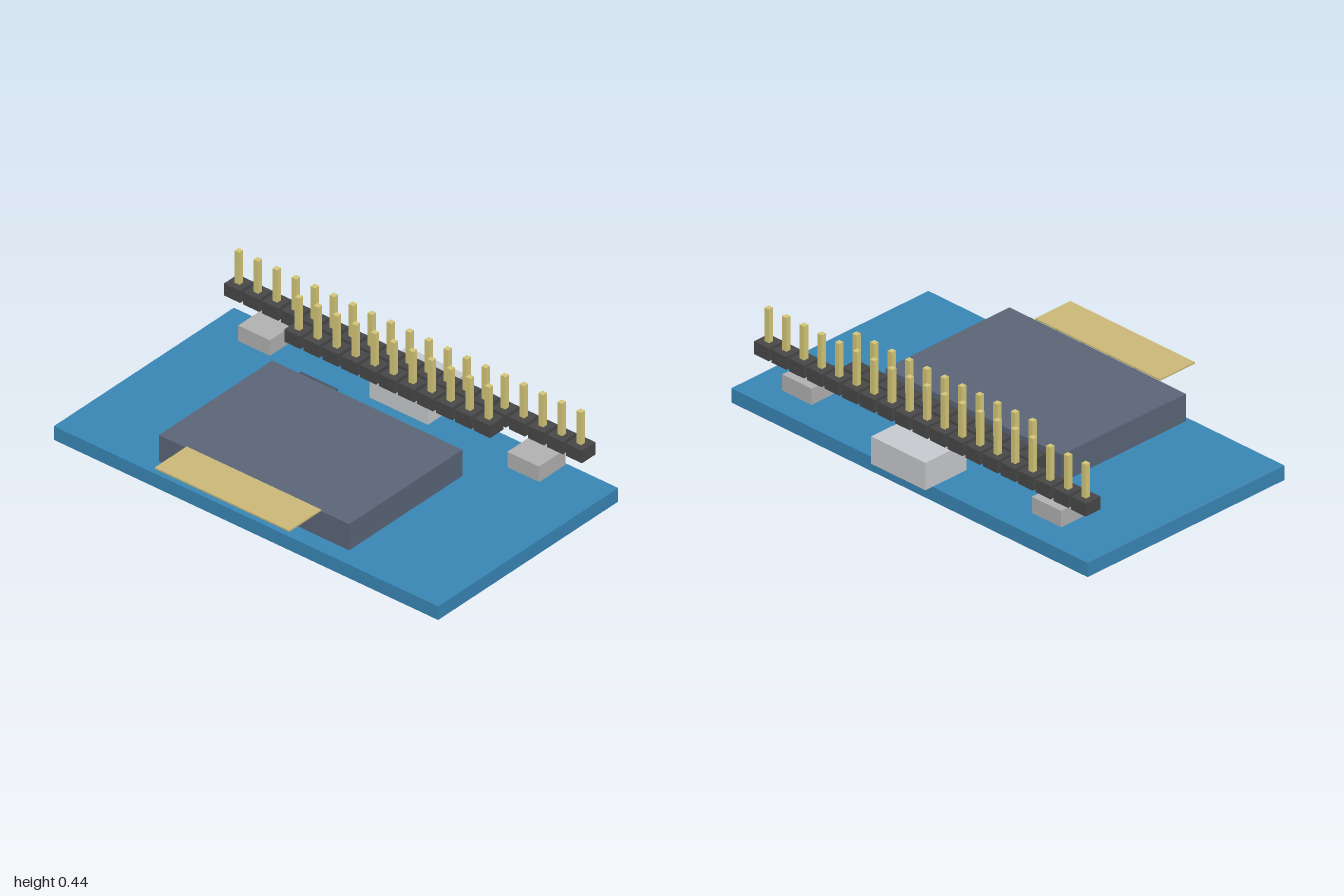
import * as THREE from 'three';

const paint = (color) => new THREE.MeshStandardMaterial({ color });
const blue = paint(0x3a87b7);
const slate = paint(0x5b6678);
const darkSlate = paint(0x4a5366);
const gold = paint(0xccb978);
const pinGold = paint(0xd6c878);
const black = paint(0x484848);
const silver = paint(0xc8cbd0);
const grey = paint(0xb2b2b2);

// Box given by its extents along each axis
function block(name, [x0, x1], [y0, y1], [z0, z1], material) {
  const mesh = new THREE.Mesh(new THREE.BoxGeometry(x1 - x0, y1 - y0, z1 - z0), material);
  mesh.position.set((x0 + x1) / 2, (y0 + y1) / 2, (z0 + z1) / 2);
  mesh.name = name;
  return mesh;
}

// Row of square-based header pins centred on x = 0
function pinHeader(name, count, z) {
  const row = new THREE.Group();
  row.name = name;
  const pitch = 0.0988, base = 0.0415, pin = 0.012;
  for (let i = 0; i < count; i++) {
    const x = (i - (count - 1) / 2) * pitch;
    row.add(
      block('pinBase', [x - base, x + base], [0.225, 0.284], [z - base, z + base], black),
      block('pin', [x - pin, x + pin], [0.284, 0.438], [z - pin, z + pin], pinGold),
    );
  }
  return row;
}

export function createModel() {
  const model = new THREE.Group();
  model.name = 'displayBoard';

  // Circuit board
  model.add(block('circuitBoard', [-1, 1], [0, 0.065], [-0.595, 0.515], blue));

  // Display module, its ribbon and the small chip behind it
  model.add(block('displayModule', [-0.497, 0.493], [0.088, 0.213], [-0.235, 0.463], slate));
  model.add(block('ribbonCable', [-0.352, 0.348], [0.214, 0.221], [0.463, 0.66], gold));
  model.add(block('chip', [-0.43, -0.235], [0.1, 0.14], [-0.332, -0.235], darkSlate));

  // Rear socket and the two push buttons
  model.add(block('socket', [-0.154, 0.15], [0.085, 0.21], [-0.66, -0.429], silver));
  model.add(block('rightButton', [-0.785, -0.62], [0.115, 0.189], [-0.528, -0.367], grey));
  model.add(block('leftButton', [0.616, 0.781], [0.115, 0.189], [-0.528, -0.367], grey));

  // Long outer and short inner pin headers
  model.add(pinHeader('outerPinHeader', 19, -0.495));
  model.add(pinHeader('innerPinHeader', 11, -0.397));

  return model;
}
